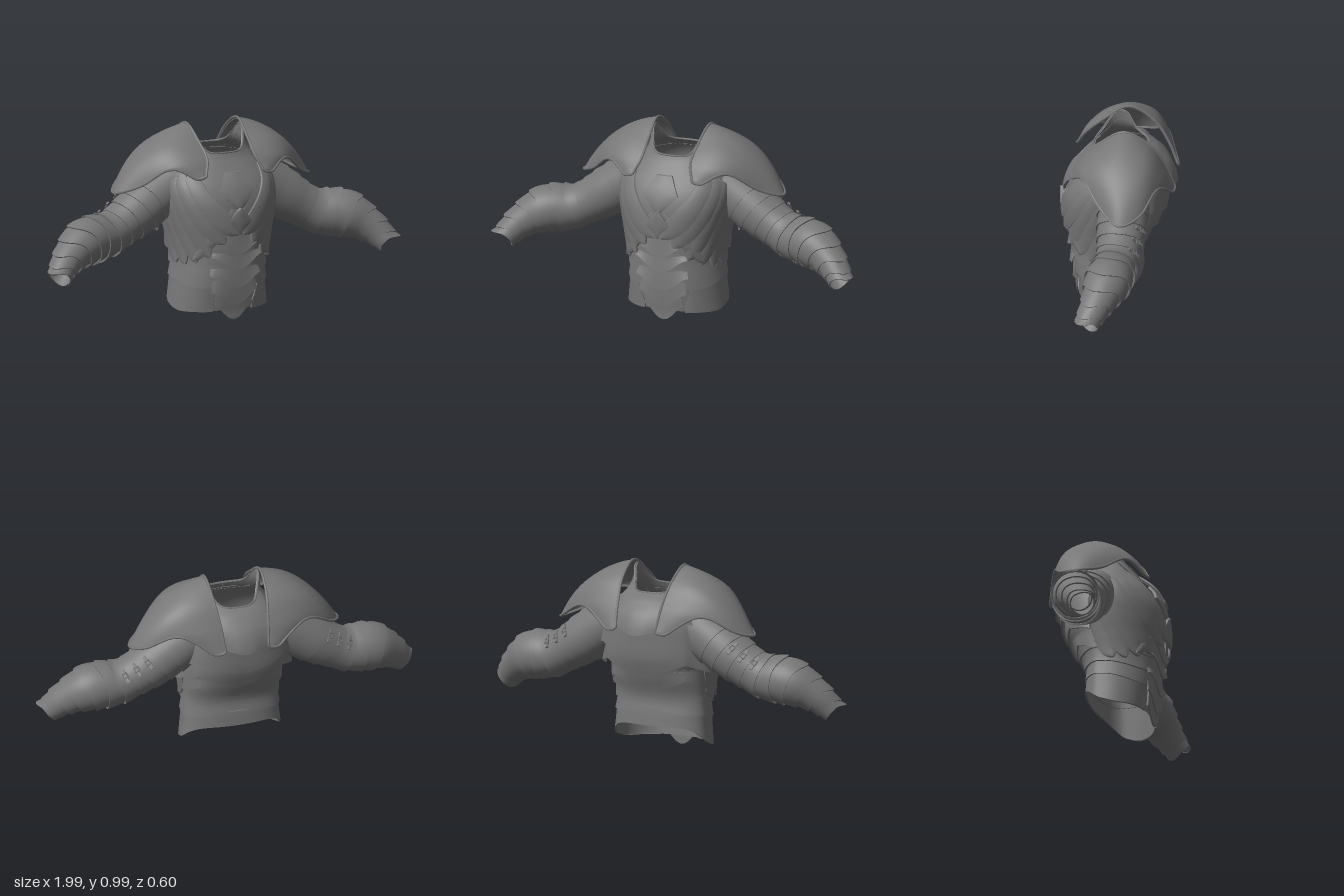
import * as THREE from 'three';
import { toCreasedNormals } from 'three/addons/utils/BufferGeometryUtils.js';

const mat = new THREE.MeshStandardMaterial({ color: 0x777777, side: THREE.DoubleSide });
const V = (x, y, z) => new THREE.Vector3(x, y, z);
const lerp = THREE.MathUtils.lerp, smooth = THREE.MathUtils.smoothstep;

// torso sections: height -> half width, front depth, back depth
const ys = [0.04, 0.2, 0.3, 0.42, 0.52, 0.62, 0.7, 0.77, 0.82, 0.87, 0.97];
const sections = new THREE.CubicInterpolant(ys, [
  0.255, 0.2, 0.118, 0.242, 0.222, 0.112, 0.237, 0.232, 0.112, 0.255, 0.245, 0.17, 0.275, 0.255, 0.215, 0.288, 0.25, 0.235,
  0.28, 0.22, 0.245, 0.24, 0.17, 0.23, 0.19, 0.138, 0.19, 0.152, 0.122, 0.112, 0.14, 0.118, 0.108,
], 3);

// point on the torso: a = 0 is the front, a = PI the back, off lifts it outward
function torso(a, y, off = 0) {
  const [w, f, b] = sections.evaluate(y);
  const s = Math.sin(a), c = Math.cos(a), e = 0.87;
  return V(Math.sign(s) * Math.abs(s) ** e * (w + off), y,
    Math.sign(c) * Math.abs(c) ** e * ((c > 0 ? f : b) + off));
}

// grid surface; with rim on, an extra border row is asked for with edge = 1
function surface(name, f, nu, nv, rim = true) {
  const pos = [], idx = [], r = rim ? 1 : 0, W = nu + 1 + 2 * r, H = nv + 1 + 2 * r;
  for (let j = -r; j <= nv + r; j++) for (let i = -r; i <= nu + r; i++) {
    const edge = i < 0 || j < 0 || i > nu || j > nv ? 1 : 0;
    const u = THREE.MathUtils.clamp(i / nu, 0, 1), v = THREE.MathUtils.clamp(j / nv, 0, 1);
    pos.push(...f(u, v, edge).toArray());
  }
  for (let j = 0; j < H - 1; j++) for (let i = 0; i < W - 1; i++) {
    const p = j * W + i;
    idx.push(p, p + 1, p + W, p + 1, p + W + 1, p + W);
  }
  const g = new THREE.BufferGeometry();
  g.setAttribute('position', new THREE.Float32BufferAttribute(pos, 3));
  g.setIndex(idx);
  const m = new THREE.Mesh(toCreasedNormals(g, 0.7), mat);
  m.name = name;
  return m;
}

// plate wrapped on the torso between two heights, flaring out toward its lower edge
const lame = (name, a0, a1, top, bot, o0, o1, n = 48) => surface(name, (u, v, edge) => {
  const a = lerp(a0, a1, u);
  return torso(a, lerp(top(a), bot(a), v), lerp(o0, o1, v) - edge * 0.01);
}, n, 8);

const tube = (name, pts, r) => {
  const m = new THREE.Mesh(new THREE.TubeGeometry(new THREE.CatmullRomCurve3(pts, true), pts.length * 3, r, 6, true), mat);
  m.name = name;
  return m;
};

function buildTorso() {
  const g = new THREE.Group(), PI = Math.PI;
  g.name = 'torso';
  const hem = a => 0.045 + 0.11 * smooth(-Math.cos(a), -0.45, 0.95);
  const neck = a => 0.845 + 0.115 * Math.sin(a) ** 4;
  g.add(surface('bodyShell', (u, v) => {
    const a = u * 2 * PI;
    return torso(a, lerp(hem(a), neck(a), v));
  }, 72, 40, false));

  // neck collar
  g.add(lame('collar', 0, 2 * PI, neck, a => neck(a) - 0.05, 0.003, 0.008));
  const ring = [];
  for (let i = 0; i < 24; i++) ring.push(torso(i * PI / 12, neck(i * PI / 12), 0.002));
  g.add(tube('collarRim', ring, 0.005));

  // skirt plate around sides and back, open at the front
  const back = a => (1 - Math.cos(a)) / 2;
  g.add(lame('skirtPlate', 0.38, 2 * PI - 0.38,
    a => 0.23 - 0.17 * (1 - smooth(Math.min(a, 2 * PI - a), 0.3, 0.75)), a => hem(a) - 0.003, 0.006, 0.01, 72));
  // waist bands, the upper ones overlapping the lower
  [[0.17, 0.06], [0.25, 0.045], [0.33, 0.03]].forEach(([y, rise], i) => {
    const edge = a => y + rise * back(a) + 0.008 * Math.cos(4 * a);
    g.add(lame('waistBand', 0, 2 * PI, a => edge(a) + 0.11, edge, 0.003, 0.014 + i * 0.003, 72));
  });

  // back plates with chevron lower edges, the topmost ridged at the spine
  [[0.45, 0.365, 0.022, 0, 0], [0.58, 0.455, 0.03, 0, 0.025], [0.71, 0.545, 0.033, 0, 0.01],
    [0.8, 0.68, 0.03, 0.028, 0]].forEach(([t, b, o, ridge, side]) => {
    g.add(surface('backPlate', (u, v, e) => {
      const a = lerp(1.7, 2 * PI - 1.7, u), d = Math.abs(a - PI);
      const wave = d < 0.8 ? -0.035 + 0.07 * d / 0.8 : 0.035 - 0.08 * (d - 0.8);
      const lift = ridge * Math.exp(-((d * 5) ** 2)) + side * smooth(d, 0.9, 1.4);
      return torso(a, lerp(t, b + wave, v), lerp(0.005, o, v) + lift * v - e * 0.01);
    }, 64, 8));
  });

  // belly lames, pointed at the centre
  [[0.2, 0, 0.34, 0.018], [0.24, 0.075, 0.44, 0.027], [0.31, 0.165, 0.5, 0.034],
    [0.39, 0.265, 0.5, 0.036], [0.47, 0.345, 0.46, 0.034]].forEach(([t, b, w, o]) => {
    g.add(lame('bellyLame', -w, w, a => t - 0.06 * Math.abs(a),
      a => b + 0.07 * smooth(Math.abs(a), 0, w), 0.008, o, 24));
  });

  // breastplate centre
  g.add(lame('breastCentre', -0.75, 0.75, a => 0.81, a => 0.5 + 0.27 * Math.abs(a), 0.006, 0.016, 32));

  // leaf shaped plate along a line from (a0, y0) to (a1, y1), half width w
  const leaf = (name, a0, y0, a1, y1, w, off, flare, s) => {
    const da = (a1 - a0) * 0.27, dy = y1 - y0, len = Math.hypot(da, dy);
    g.add(surface(name, (u, v, e) => {
      const k = u * 2 - 1, half = w * (0.75 + 0.5 * v) * Math.sqrt(1 - 0.995 * v ** 3);
      const a = lerp(a0, a1, v) - k * half * dy / len / 0.27;
      const y = lerp(y0, y1, v) + k * half * da / len - 0.02 * Math.sin(v * PI);
      return torso(s * a, y, off + flare * v + 0.004 * (1 - k * k) - e * 0.01);
    }, 10, 18));
  };
  for (const s of [1, -1]) {
    // ribs fan from the armpit to the lower front
    [[1.75, 0.6, 1.35, 0.29, 0.05], [1.62, 0.65, 1.08, 0.29, 0.05], [1.45, 0.69, 0.8, 0.305, 0.05],
      [1.3, 0.72, 0.5, 0.335, 0.05]].forEach(([a0, y0, a1, y1, w], i) =>
      leaf('ribPlate', a0, y0, a1, y1, w, 0.006 + 0.002 * i, 0.018, s));
    // crossing plates over the breast
    leaf('crossPlateLower', 0.03, 0.57, 0.88, 0.315, 0.03, 0.02, 0.01, s);
    leaf('crossPlateOuter', 1.12, 0.74, 0.22, 0.405, 0.055, 0.012, 0.026, s);
    leaf('crossPlateInner', 0.85, 0.755, 0.03, 0.45, 0.055, 0.014, 0.03, s);
  }
  // raised crest and boss
  const shield = (name, y0, y1, w, neckW, o) => g.add(surface(name, (u, v, e) => {
    const half = v < 0.5 ? lerp(neckW, w, v * 2) : lerp(w, 0.01, v * 2 - 1);
    return torso((u * 2 - 1) * half, lerp(y0, y1, v), o + 0.006 * (1 - Math.abs(u * 2 - 1)) - e * 0.014);
  }, 8, 16));
  shield('breastCrest', 0.76, 0.58, 0.26, 0.12, 0.03);
  shield('breastBoss', 0.59, 0.45, 0.16, 0.01, 0.042);
  return g;
}

function buildPauldron(s) {
  const g = new THREE.Group();
  g.name = s > 0 ? 'leftPauldron' : 'rightPauldron';
  const spline = pts => new THREE.CatmullRomCurve3(pts.map(p => V(s * p[0], p[1], p[2])));
  // front to back: neck edge, crown line and outer edge
  const inner = spline([[0.165, 0.755, 0.23], [0.135, 0.83, 0.185], [0.137, 0.91, 0.09], [0.145, 0.982, -0.035],
    [0.14, 0.91, -0.165], [0.125, 0.79, -0.245], [0.115, 0.675, -0.29]]);
  const crown = spline([[0.185, 0.758, 0.228], [0.245, 0.825, 0.18], [0.33, 0.87, 0.085], [0.375, 0.875, -0.04],
    [0.35, 0.86, -0.155], [0.245, 0.79, -0.235], [0.14, 0.675, -0.289]]);
  const outer = spline([[0.21, 0.745, 0.225], [0.32, 0.795, 0.16], [0.455, 0.7, 0.06], [0.55, 0.656, -0.04],
    [0.5, 0.68, -0.135], [0.34, 0.76, -0.215], [0.165, 0.665, -0.285]]);
  const f = (u, v) => inner.getPoint(v).multiplyScalar((1 - u) * (1 - 2 * u))
    .addScaledVector(crown.getPoint(v), 4 * u * (1 - u))
    .addScaledVector(outer.getPoint(v), u * (2 * u - 1));
  const centre = V(s * 0.2, 0.7, -0.03);
  g.add(surface('pauldronShell', (u, v, e) => f(u, v).lerp(centre, e * 0.04), 18, 36));
  // raised border
  const rim = [], n = 20;
  for (let i = 0; i <= n; i++) rim.push(f(0, i / n));
  for (let i = n; i >= 0; i--) rim.push(f(1, i / n));
  g.add(tube('pauldronRim', rim, 0.007));
  return g;
}

function buildArm(s) {
  const g = new THREE.Group();
  g.name = s > 0 ? 'leftArm' : 'rightArm';
  const path = new THREE.CatmullRomCurve3([[0.22, 0.675, -0.045], [0.35, 0.595, -0.045], [0.48, 0.51, -0.04], [0.6, 0.45, -0.025],
    [0.74, 0.425, 0.002], [0.86, 0.355, 0.05], [0.933, 0.28, 0.095]].map(p => V(...p)));
  const radius = new THREE.CubicInterpolant([0, 0.25, 0.47, 0.6, 0.7, 0.82, 1], [0.13, 0.126, 0.107, 0.115, 0.115, 0.088, 0.054], 1);
  // frame along the arm; t beyond 1 runs on straight
  const frame = t => {
    const k = Math.min(t, 1), T = path.getTangentAt(k), c = path.getPointAt(k).addScaledVector(T, (t - k) * 0.8);
    const side = V().crossVectors(T, V(0, 1, 0)).normalize();
    return { T, c, side, up: V().crossVectors(side, T), r: radius.evaluate(k)[0] };
  };
  // point around the arm; phi = 0 is the top
  const at = (t, phi, off) => {
    const { c, side, up, r } = frame(t);
    const p = c.addScaledVector(up, Math.cos(phi) * (r + off)).addScaledVector(side, Math.sin(phi) * (r + off));
    p.x *= s;
    return p;
  };
  // overlapping rings: plain on the upper arm, pointed on the forearm
  const cuts = [0, 0.17, 0.26, 0.35, 0.43, 0.515, 0.6, 0.69, 0.78, 0.865, 0.94, 0.985];
  for (let i = 0; i < cuts.length - 1; i++) {
    const fore = i > 3, point = fore ? 0.05 : 0.02;
    g.add(surface(fore ? 'forearmLame' : 'upperArmLame', (u, v, e) => {
      const phi = u * 2 * Math.PI, peak = Math.max(0, Math.cos(phi)) ** 3 + 0.35 * Math.max(0, -Math.cos(phi)) ** 3;
      const t = lerp(Math.max(0, cuts[i] - 0.02), cuts[i + 1] + point * peak, v);
      return at(t, phi, -0.004 + v * (fore ? 0.013 + 0.006 * peak : 0.009) - e * 0.007);
    }, 36, 6));
  }
  // straps with buckles behind the upper arm
  [0.3, 0.38, 0.46].forEach(t => {
    const buckle = new THREE.Group(), { T, side, up } = frame(t), phi = -0.95;
    buckle.name = 'buckle';
    const n = V().addScaledVector(up, Math.cos(phi)).addScaledVector(side, Math.sin(phi));
    const basis = [T, V().crossVectors(n, T), n].map(v => V(v.x * s, v.y, v.z));
    if (s < 0) basis[1].negate();
    buckle.quaternion.setFromRotationMatrix(new THREE.Matrix4().makeBasis(...basis));
    buckle.position.copy(at(t, phi, 0.01));
    const strap = new THREE.Mesh(new THREE.BoxGeometry(0.016, 0.075, 0.008), mat);
    strap.name = 'strap';
    const loop = new THREE.Mesh(new THREE.TorusGeometry(0.016, 0.004, 6, 4), mat);
    loop.name = 'buckleLoop';
    loop.rotation.z = Math.PI / 4;
    loop.position.z = 0.005;
    buckle.add(strap, loop);
    g.add(buckle);
  });
  return g;
}

export function createModel() {
  const model = new THREE.Group();
  model.name = 'plateArmour';
  model.add(buildTorso());
  for (const s of [1, -1]) model.add(buildPauldron(s), buildArm(s));
  return model;
}
